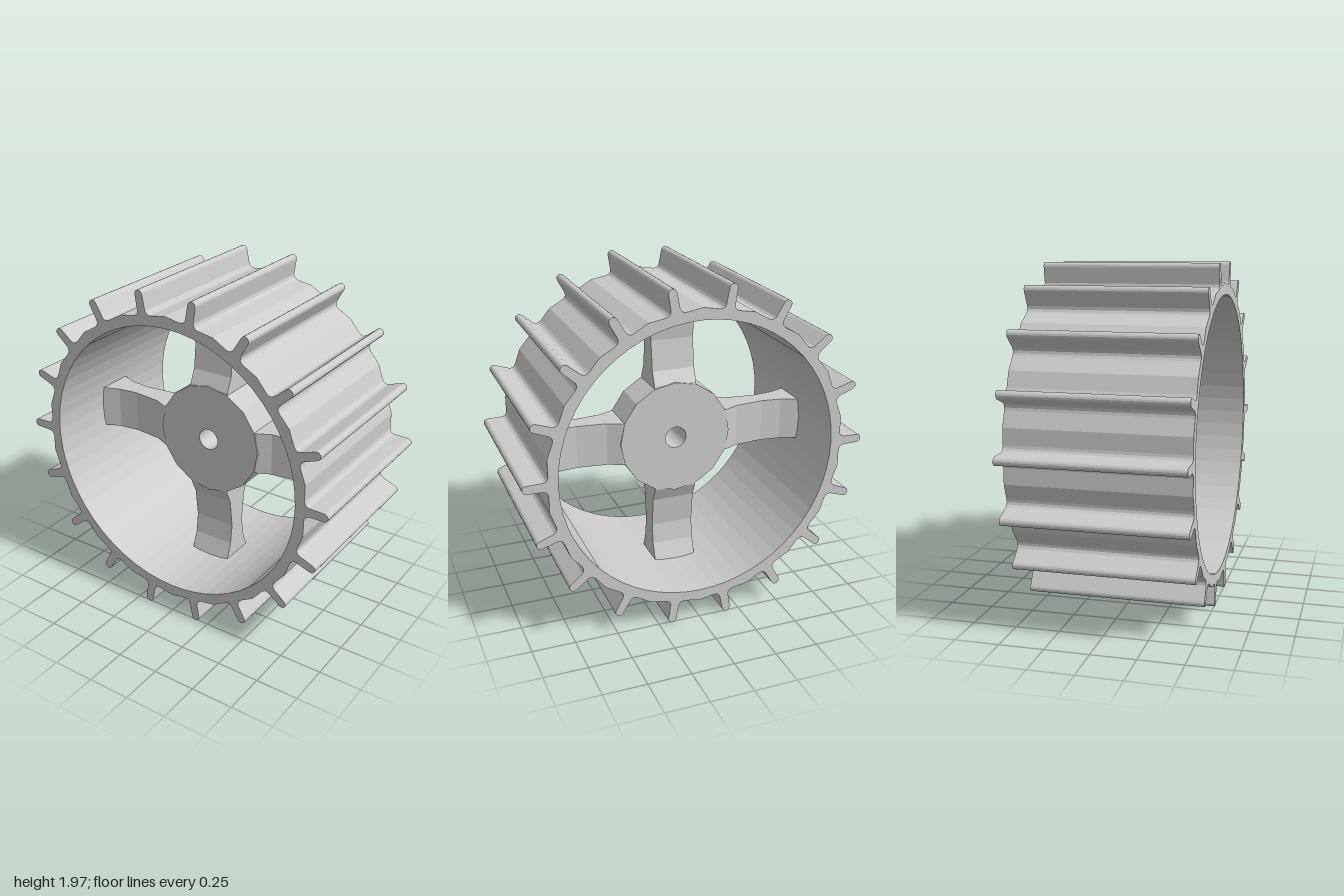
import * as THREE from 'three';

const WIDTH = 1.01;      // rim width along z
const CENTRE_Y = 0.985;  // axle height
const TEETH = 18;
const material = new THREE.MeshStandardMaterial({ color: 0xcccccc });

const ring = (radius, sides) => Array.from({ length: sides }, (_, i) => {
  const a = (i / sides) * Math.PI * 2;
  return new THREE.Vector2(radius * Math.cos(a), radius * Math.sin(a));
});

// Extrude an outline, centred on z = 0
function slab(points, depth, hole) {
  const shape = new THREE.Shape(points);
  if (hole) shape.holes.push(new THREE.Path(hole));
  const geometry = new THREE.ExtrudeGeometry(shape, { depth, bevelEnabled: false });
  return geometry.translate(0, 0, -depth / 2);
}

function part(name, geometry) {
  const mesh = new THREE.Mesh(geometry, material);
  mesh.name = name;
  return mesh;
}

// One paddle pointing along +x: root fillet, blade and rounded tip
function paddleOutline() {
  const half = [[0.86, 0.06], [0.863, 0.045], [0.871, 0.033], [0.886, 0.026]];
  const points = half.map(([x, y]) => new THREE.Vector2(x, -y));
  for (let i = 0; i <= 8; i++) {
    const a = -Math.PI / 2 + (i / 8) * Math.PI;
    points.push(new THREE.Vector2(0.976 + 0.024 * Math.cos(a), 0.024 * Math.sin(a)));
  }
  half.reverse().forEach(([x, y]) => points.push(new THREE.Vector2(x, y)));
  // ridge halfway to the next paddle
  const a = Math.PI / TEETH;
  points.push(new THREE.Vector2(0.874 * Math.cos(a), 0.874 * Math.sin(a)));
  return points;
}

export function createModel() {
  const model = new THREE.Group();
  model.name = 'paddledWheel';
  const origin = new THREE.Vector2();

  // Rim with paddles all round
  const outline = [];
  for (let i = 0; i < TEETH; i++) {
    const a = (i / TEETH) * Math.PI * 2;
    paddleOutline().forEach(p => outline.push(p.rotateAround(origin, a)));
  }
  model.add(part('rim', slab(outline, WIDTH, ring(0.806, 60))));

  // Hub with axle bore
  model.add(part('hub', slab(ring(0.336, 16), 0.236, ring(0.064, 32))));

  // Four spokes, waisted front and back
  const waist = [[0.29, 0.116], [0.325, 0.112], [0.405, 0.075], [0.58, 0.055], [0.7, 0.07], [0.815, 0.113]];
  const profile = [
    ...waist.map(([r, z]) => new THREE.Vector2(r, -z)),
    ...waist.slice().reverse().map(([r, z]) => new THREE.Vector2(r, z)),
  ];
  const spokeGeometry = slab(profile, 0.254).rotateX(Math.PI / 2);
  for (let i = 0; i < 4; i++) {
    const spoke = part('spoke', spokeGeometry);
    spoke.rotation.z = (i * Math.PI) / 2;
    model.add(spoke);
  }

  model.position.y = CENTRE_Y;
  const root = new THREE.Group();
  root.name = 'wheel';
  root.add(model);
  return root;
}
